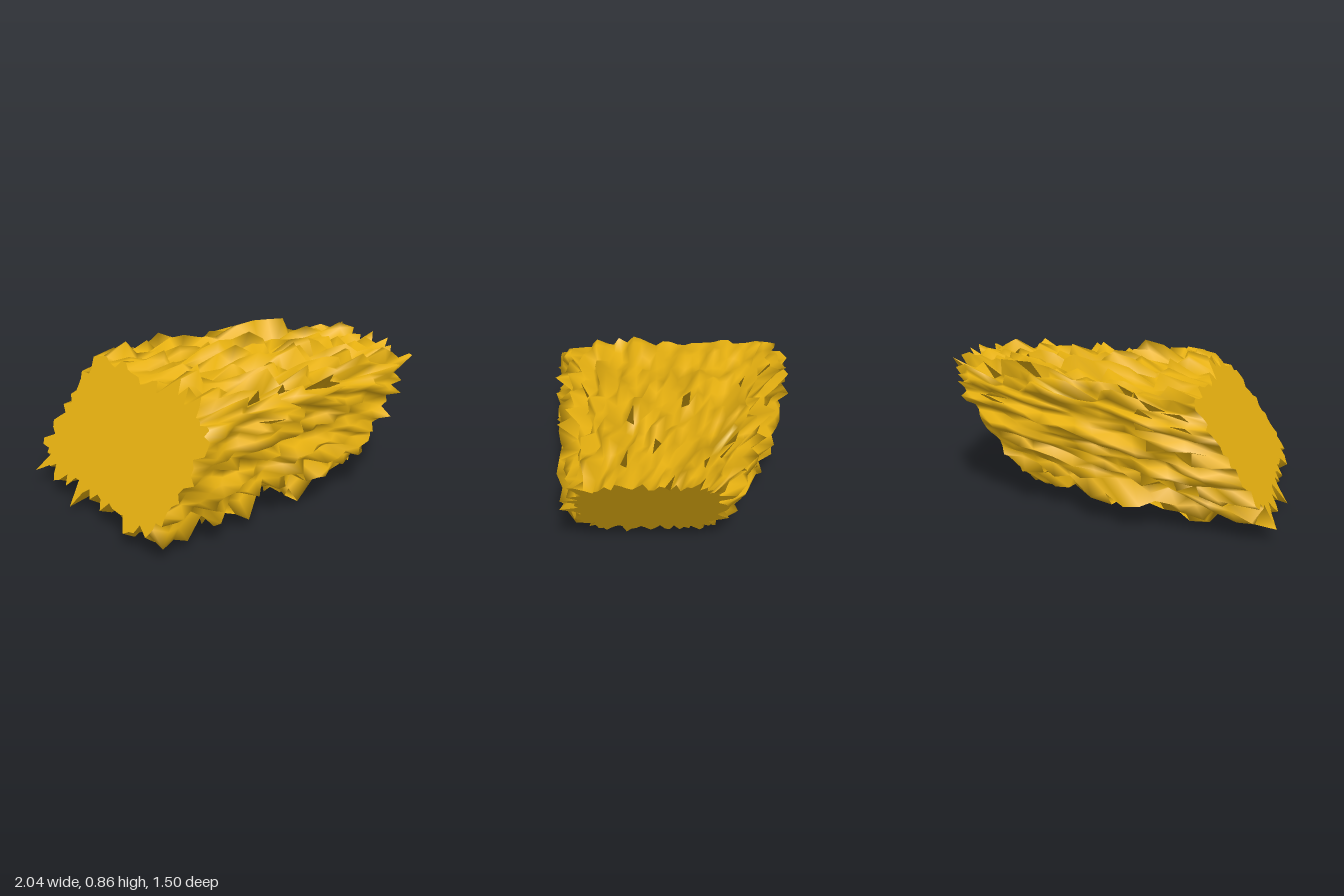
import * as THREE from 'three';
import { mergeVertices } from 'three/addons/utils/BufferGeometryUtils.js';

const SHORT = 20, LONG = 30, AROUND = 2 * (SHORT + LONG), RINGS = 15;
const MID_Y = 0.425, SHEAR = 0.7;

// Small seeded random generator
function seeded(seed) {
  return () => {
    seed = (seed * 1664525 + 1013904223) % 4294967296;
    return seed / 4294967296;
  };
}

// Evenly spaced [z, y] points around a unit square: front, top, back, bottom
function squareOutline() {
  const outline = [];
  for (let side = 0; side < 4; side++) {
    const count = side % 2 ? LONG : SHORT;
    for (let k = 0; k < count; k++) {
      const s = -1 + (2 * k) / count;
      outline.push([[1, s], [-s, 1], [-1, -s], [s, -1]][side]);
    }
  }
  return outline;
}

// Rough cross-sections: rounded rectangles that narrow towards +x
function makeRings() {
  const random = seeded(11);
  const outline = squareOutline();
  const rings = [];
  let streak = outline.map(random);
  for (let i = 0; i <= RINGS; i++) {
    const t = i / RINGS, belly = Math.sin(Math.PI * t);
    const back = -0.68 + 0.39 * t - 0.07 * belly, front = 0.68 - 0.14 * t - 0.02 * belly;
    const midZ = (back + front) / 2, halfZ = (front - back) / 2;
    const power = 6 - 1.5 * t;
    // tufts run lengthways, so each ring keeps part of the one before
    streak = streak.map((s) => 0.2 * s + 0.8 * random());
    rings.push(outline.map(([c, d], j) => {
      const r = Math.pow(Math.abs(c) ** power + Math.abs(d) ** power, -1 / power);
      const tuft = (0.2 * streak[j] ** 1.8 - 0.065) * (0.7 + 0.3 * belly);
      const y = MID_Y + d * r * 0.31 + d ** 3 * tuft;
      const z = midZ + c * r * halfZ + c ** 3 * tuft;
      return new THREE.Vector3(-0.75 + 1.5 * t + (y - MID_Y) * SHEAR, y, z);
    }));
  }
  return rings;
}

// Shaggy skin joining the rings, smoothly shaded
function sideGeometry(rings) {
  const points = [];
  for (let i = 0; i < RINGS; i++) {
    for (let j = 0; j < AROUND; j++) {
      const k = (j + 1) % AROUND;
      const a = rings[i][j], b = rings[i + 1][j], c = rings[i + 1][k], d = rings[i][k];
      points.push(a, b, d, b, c, d);
    }
  }
  const geometry = mergeVertices(new THREE.BufferGeometry().setFromPoints(points));
  geometry.computeVertexNormals();
  return geometry;
}

// Flat slanted cut with a ragged rim
function capGeometry(ring, centre, facesRight) {
  const points = [];
  ring.forEach((p, j) => {
    const q = ring[(j + 1) % AROUND];
    points.push(centre, ...(facesRight ? [q, p] : [p, q]));
  });
  const geometry = new THREE.BufferGeometry().setFromPoints(points);
  geometry.computeVertexNormals();
  return geometry;
}

export function createModel() {
  const group = new THREE.Group();
  group.name = 'strawBale';
  const material = new THREE.MeshStandardMaterial({ color: 0xe6b010 });
  const rings = makeRings();
  const add = (name, geometry) => {
    const mesh = new THREE.Mesh(geometry, material);
    mesh.name = name;
    group.add(mesh);
  };
  add('shaggySides', sideGeometry(rings));
  add('wideCutEnd', capGeometry(rings[0], new THREE.Vector3(-0.75, MID_Y, 0), false));
  add('narrowCutEnd', capGeometry(rings[RINGS], new THREE.Vector3(0.75, MID_Y, 0.125), true));
  return group;
}
